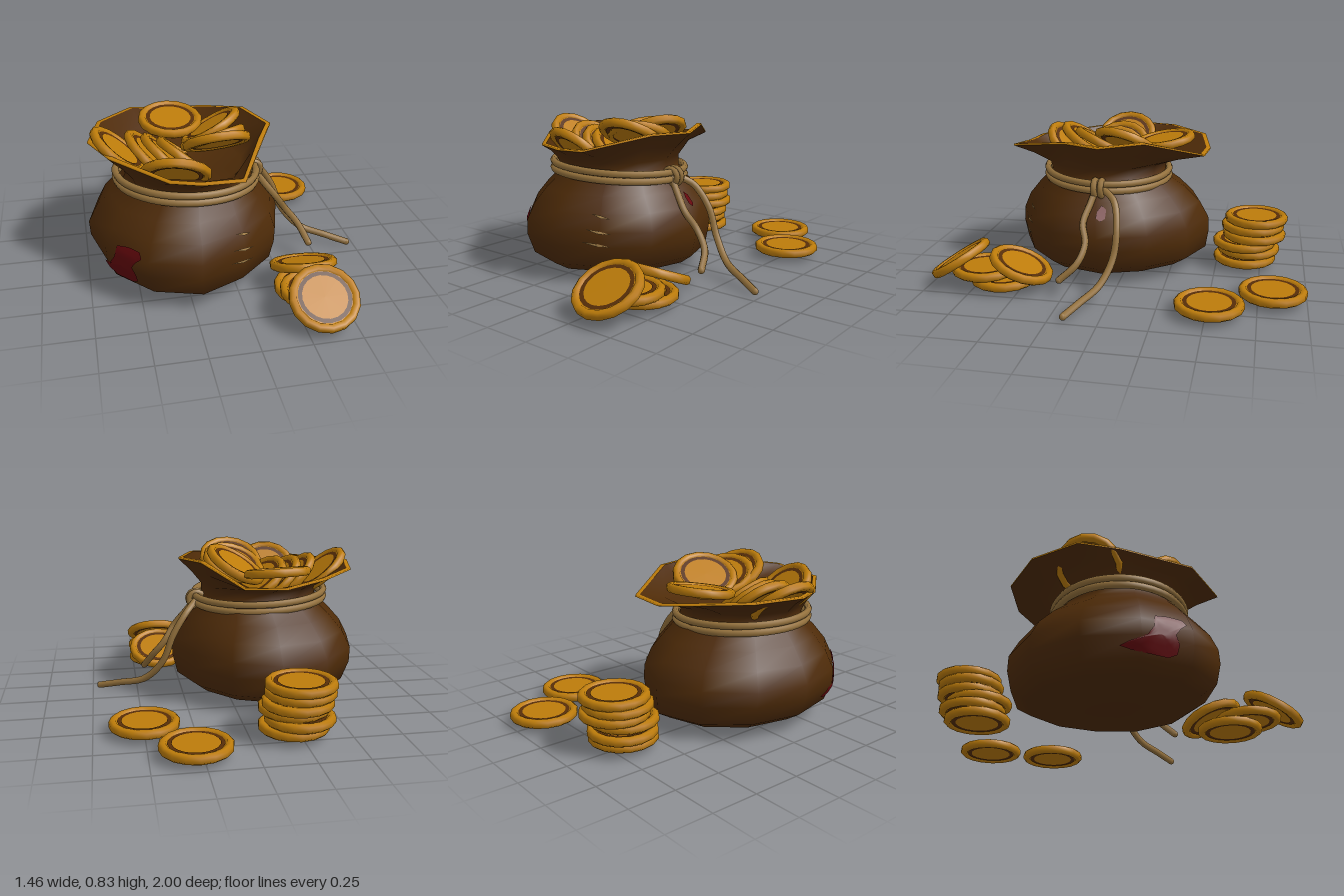
import * as THREE from 'three';

const mat = (name, color, side = THREE.FrontSide) => {
  const m = new THREE.MeshStandardMaterial({ color, side });
  m.name = name;
  return m;
};
const leather = mat('brown leather', 0x4e2b08);
const gold = mat('gold', 0xbd7c0a);
const coinInk = mat('dark coin ring', 0x572e08);
const cord = mat('tan cord', 0x94713c);
const patchRed = mat('dark red', 0x64070c, THREE.DoubleSide);
const thread = mat('pale thread', 0xa5814a, THREE.DoubleSide);

const SIDES = 12;
const V = (x, y, z) => new THREE.Vector3(x, y, z);

// Horizontal ring of the sack: height, centre, two radii and how lumpy it is
const lumps = [1, 0.98, 0.93, 1, 1, 1, 1, 1, 1, 1, 0.95, 0.94];
const ring = ([y, cx, cz, rx, rz, lumpy = 0]) => lumps.map((lump, i) => {
  const a = (i / SIDES) * Math.PI * 2, s = 1 + (lump - 1) * lumpy;
  return V(cx + rx * s * Math.cos(a), y, cz + rz * s * Math.sin(a));
});

function skin(pos, index) {
  const g = new THREE.BufferGeometry();
  g.setAttribute('position', new THREE.Float32BufferAttribute(pos, 3));
  g.setIndex(index);
  g.computeVertexNormals();
  return g;
}

// Closed skin through a list of rings
function loft(rings) {
  const pos = [], index = [];
  rings.forEach((r) => r.forEach((p) => pos.push(p.x, p.y, p.z)));
  for (let j = 0; j < rings.length - 1; j++) {
    for (let i = 0; i < SIDES; i++) {
      const k = (i + 1) % SIDES;
      const a = j * SIDES + i, b = a + SIDES, c = j * SIDES + k, d = c + SIDES;
      index.push(a, b, c, c, b, d);
    }
  }
  return skin(pos, index);
}

const bodyRings = [
  [0.028, -0.2, 0.1, 0.001, 0.001],
  [0.028, -0.2, 0.1, 0.26, 0.31, 1],
  [0.05, -0.2, 0.1, 0.4, 0.45, 1],
  [0.1, -0.205, 0.1, 0.475, 0.535, 1],
  [0.2, -0.215, 0.105, 0.51, 0.555, 1],
  [0.28, -0.215, 0.105, 0.515, 0.55, 1],
  [0.37, -0.21, 0.11, 0.475, 0.505, 0.8],
  [0.45, -0.21, 0.12, 0.405, 0.43, 0.4],
  [0.51, -0.2, 0.13, 0.35, 0.36],
  [0.56, -0.2, 0.135, 0.325, 0.33],
  [0.61, -0.21, 0.14, 0.335, 0.34],
].map(ring);

// Uneven mouth, starting at +x and turning towards +z
const mouth = [
  [0.255, 0.755, 0.1], [0.165, 0.755, 0.3], [0, 0.7, 0.635], [-0.2, 0.685, 0.605],
  [-0.35, 0.693, 0.57], [-0.61, 0.705, 0.27], [-0.705, 0.72, 0.08], [-0.64, 0.72, -0.19],
  [-0.44, 0.71, -0.4], [-0.23, 0.675, -0.445], [-0.02, 0.68, -0.43], [0.16, 0.768, -0.13],
].map((p) => V(...p));
const neckTop = bodyRings[bodyRings.length - 1];
const flare = mouth.map((p, i) => neckTop[i].clone().lerp(p, 0.45).add(V(0, 0.008, 0)));
const mid = V(-0.21, 0.72, 0.1);
const inset = (r, d, dy) => r.map((p) => {
  const q = mid.clone().sub(p).setY(0).setLength(d).add(p);
  return q.setY(p.y + dy);
});

// Point just above the sack skin at an angle (degrees) and height
function onSack(deg, y) {
  let j = 1;
  while (j < bodyRings.length - 2 && bodyRings[j + 1][0].y < y) j++;
  const f = ((deg + 360) % 360) / (360 / SIDES), i = Math.floor(f), k = (i + 1) % SIDES;
  const at = (r) => r[i].clone().lerp(r[k], f - i);
  const lo = at(bodyRings[j]), hi = at(bodyRings[j + 1]);
  const p = lo.clone().lerp(hi, (y - lo.y) / (hi.y - lo.y));
  const a = THREE.MathUtils.degToRad(deg);
  return p.add(V(Math.cos(a), 0.1, Math.sin(a)).multiplyScalar(0.009));
}

// Thin patch wrapped on the sack, outlined by [angle, height] pairs
function wrapped(outline) {
  const n = outline.length, steps = 4, pos = [], index = [];
  const c = [0, 1].map((q) => outline.reduce((s, p) => s + p[q], 0) / n);
  for (let s = 0; s <= steps; s++) {
    outline.forEach((p) => {
      const [a, y] = c.map((v, q) => v + (p[q] - v) * (s / steps));
      pos.push(...onSack(a, y).toArray());
    });
  }
  for (let s = 0; s < steps; s++) {
    for (let i = 0; i < n; i++) {
      const a = s * n + i, b = s * n + (i + 1) % n;
      index.push(a, a + n, b, b, a + n, b + n);
    }
  }
  return skin(pos, index);
}

// Coin parts shared by all coins
const coinRim = new THREE.LatheGeometry([
  [0.136, -0.01], [0.143, -0.022], [0.163, -0.023], [0.176, -0.012],
  [0.176, 0.012], [0.163, 0.023], [0.143, 0.022], [0.136, 0.01],
].map((p) => new THREE.Vector2(...p)), 16);
const coinFace = new THREE.CircleGeometry(0.14, 16).rotateX(-Math.PI / 2).translate(0, 0.012, 0);
const coinRing = new THREE.RingGeometry(0.113, 0.134, 20).rotateX(-Math.PI / 2).translate(0, 0.0145, 0);

function coin(name, [x, y, z], normal = [0, 1, 0]) {
  const g = new THREE.Group();
  g.name = name;
  const add = (part, geo, m, flip) => {
    const mesh = new THREE.Mesh(geo, m);
    mesh.name = part;
    if (flip) mesh.rotation.x = Math.PI;
    g.add(mesh);
  };
  add('coinRim', coinRim, gold);
  for (const flip of [false, true]) {
    add('coinFace', coinFace, gold, flip);
    add('coinRing', coinRing, coinInk, flip);
  }
  g.position.set(x, y, z);
  g.quaternion.setFromUnitVectors(V(0, 1, 0), V(...normal).normalize());
  return g;
}

export function createModel() {
  const model = new THREE.Group();
  model.name = 'sackOfCoins';
  const add = (name, geo, m) => {
    const mesh = new THREE.Mesh(geo, m);
    mesh.name = name;
    model.add(mesh);
    return mesh;
  };

  // Sack, gold hem and inner lining
  const hem = inset(mouth, 0.024, 0.009);
  add('sackBody', loft([...bodyRings, flare, mouth]), leather);
  add('mouthHem', loft([mouth, inset(mouth, 0.001, 0.009), hem]), gold);
  add('sackLining', loft([hem, inset(flare, 0.02, 0.005), ring([0.6, -0.21, 0.14, 0.3, 0.3]),
    ring([0.57, -0.21, 0.14, 0.001, 0.001])]), leather);

  // Stains and stitches
  add('redStain', wrapped([[142, 0.31], [134, 0.322], [126, 0.318], [124, 0.29], [128, 0.26], [131, 0.225],
    [129, 0.18], [130, 0.135], [135, 0.115], [146, 0.118], [155, 0.13], [161, 0.15], [156, 0.17],
    [147, 0.2], [143, 0.25]]), patchRed);
  add('smallStain', wrapped([[-6, 0.38], [-3, 0.368], [0, 0.385], [-1, 0.415], [-4, 0.44], [-7, 0.42]]), patchRed);
  [[0.36, 54, 66], [0.285, 53, 69], [0.22, 53, 71]].forEach(([y, a, b]) =>
    add('stitch', wrapped([[a, y - 0.013], [(a + b) / 2, y - 0.008], [b, y + 0.012], [(a + b) / 2, y + 0.007]]), thread));

  // Cord wound twice round the neck, knot and loose ends
  const tube = (name, pts, closed, seg) => {
    const curve = new THREE.CatmullRomCurve3(pts, closed);
    add(name, new THREE.TubeGeometry(curve, seg, 0.019, 7, closed), cord);
    if (closed) return;
    for (const p of [pts[0], pts[pts.length - 1]]) {
      add(name + 'Tip', new THREE.SphereGeometry(0.019, 7, 5), cord).position.copy(p);
    }
  };
  for (const y of [0.522, 0.56]) {
    tube('neckCord', ring([y, -0.205, 0.135, 0.37, 0.348]).map((p) =>
      p.setY(p.y - 0.04 * (p.x + 0.2) + 0.03 * (p.z - 0.13))), true, 48);
  }
  for (const z of [0.1, 0.137]) {
    add('knotLoop', new THREE.TorusGeometry(0.042, 0.017, 7, 14), cord).position.set(0.157, 0.522, z);
  }
  tube('longCordEnd', [V(0.16, 0.52, 0.09), V(0.22, 0.47, 0.02), V(0.3, 0.35, -0.01), V(0.36, 0.2, 0),
    V(0.46, 0.09, 0.05), V(0.6, 0.05, 0.12), V(0.71, 0.022, 0.175)], false, 28);
  tube('shortCordEnd', [V(0.16, 0.52, 0.13), V(0.21, 0.45, 0.15), V(0.28, 0.36, 0.175), V(0.34, 0.27, 0.15),
    V(0.41, 0.18, 0.18), V(0.45, 0.1, 0.265)], false, 28);

  // Coins heaped in the sack: place and facing
  [
    [[-0.24, 0.715, -0.18], [0.04, 0.96, 0.17]],
    [[-0.05, 0.732, 0.01], [-0.46, 0.84, -0.22]],
    [[-0.06, 0.72, 0.13], [-0.22, 0.85, -0.4]],
    [[-0.055, 0.73, 0.21], [-0.06, 0.83, -0.52]],
    [[-0.55, 0.67, 0.09], [0.65, 0.75, 0]],
    [[-0.385, 0.635, 0.1], [0.7, 0.7, 0]],
    [[-0.3, 0.62, 0.11], [0.7, 0.7, -0.1]],
    [[-0.21, 0.62, 0.13], [0.6, 0.75, -0.2]],
    [[-0.29, 0.65, 0.37], [0.15, 0.72, -0.67]],
  ].forEach(([p, n]) => model.add(coin('sackCoin', p, n)));

  // Stack behind the sack
  [[-0.22, -0.66], [-0.245, -0.68], [-0.22, -0.655], [-0.225, -0.71], [-0.24, -0.7], [-0.238, -0.718]]
    .forEach(([x, z], i) => model.add(coin('stackedCoin', [x, 0.053 + i * 0.0465, z])));

  // Loose coins on the ground
  [[0.28, -0.825], [0.497, -0.515]].forEach(([x, z]) => model.add(coin('looseCoin', [x, 0.053, z])));

  // Small slumped pile in front
  [
    [[0.346, 0.053, 0.6]],
    [[0.346, 0.1, 0.705]],
    [[0.346, 0.13, 0.5], [0, 0.92, -0.39]],
    [[0.346, 0.145, 0.842], [0, 0.85, 0.53]],
  ].forEach(([p, n]) => model.add(coin('pileCoin', p, n)));

  return model;
}
